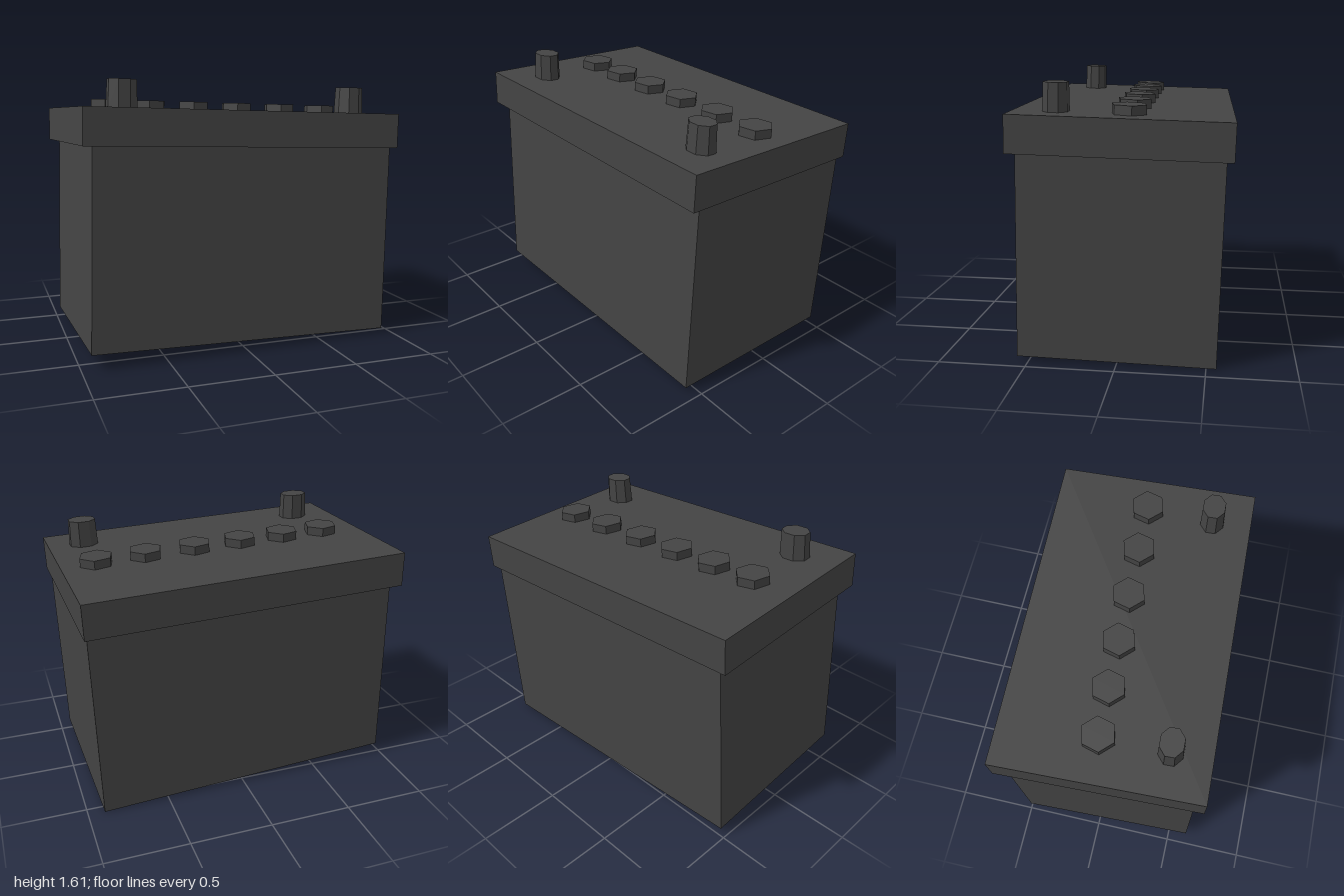
import * as THREE from 'three';

export function createModel() {
  const model = new THREE.Group();
  model.name = 'carBattery';

  const material = new THREE.MeshStandardMaterial({ color: 0x444444, flatShading: true });
  const openMaterial = material.clone();
  openMaterial.side = THREE.DoubleSide;

  // The whole battery leans slightly; its local origin is the middle of the lid top
  const battery = new THREE.Group();
  battery.name = 'battery';
  battery.position.set(0, 1.415, 0);
  battery.rotation.set(-0.028, 0.031, -0.031);
  model.add(battery);

  const add = (name, geometry, x, y, z, mat = material) => {
    const mesh = new THREE.Mesh(geometry, mat);
    mesh.name = name;
    mesh.position.set(x, y, z);
    battery.add(mesh);
    return mesh;
  };

  // Overhanging lid
  const lidHeight = 0.21;
  add('lid', new THREE.BoxGeometry(1.957, lidHeight, 1.213), 0, -lidHeight / 2, 0);

  // Case: four thin walls, open at the bottom
  const width = 1.878, depth = 1.12, height = 1.16;
  const caseGroup = new THREE.Group();
  caseGroup.name = 'case';
  caseGroup.position.set(0.021, -lidHeight - height / 2, -0.008);
  battery.add(caseGroup);
  ['frontWall', 'leftWall', 'backWall', 'rightWall'].forEach((name, i) => {
    const side = i % 2 === 1;
    const geometry = new THREE.PlaneGeometry(side ? depth : width, height);
    geometry.translate(0, 0, (side ? width : depth) / 2);
    const wall = new THREE.Mesh(geometry, openMaterial);
    wall.name = name;
    wall.rotation.y = i * Math.PI / 2;
    caseGroup.add(wall);
  });

  // Row of six hexagonal filler caps
  const capHeight = 0.053;
  const capGeometry = new THREE.CylinderGeometry(0.103, 0.103, capHeight, 6);
  capGeometry.rotateY(-0.3);
  [-0.711, -0.433, -0.144, 0.155, 0.465, 0.767].forEach((x, i) =>
    add('fillerCap' + (i + 1), capGeometry, x, capHeight / 2, -0.034));

  // Two tapered oval terminal posts near the front
  const postHeight = 0.16;
  const postGeometry = new THREE.CylinderGeometry(0.071, 0.076, postHeight, 8);
  postGeometry.rotateY(Math.PI / 8).scale(1.22, 1, 1);
  add('rightTerminal', postGeometry, -0.713, postHeight / 2, 0.37);
  add('leftTerminal', postGeometry, 0.758, postHeight / 2, 0.37);

  return model;
}
